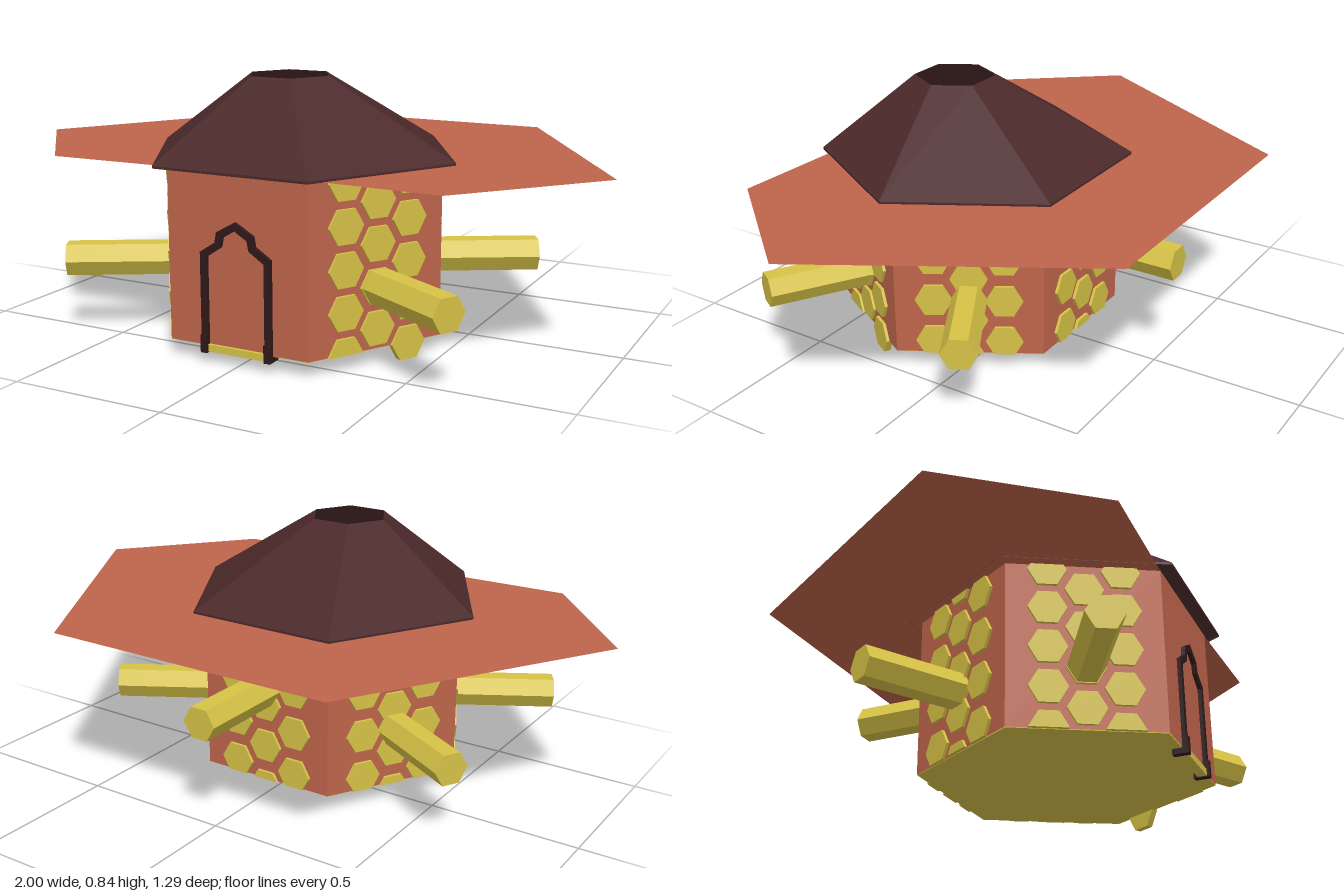
import * as THREE from 'three';

const CZ = 0.19, R = 0.475, AP = R * Math.cos(Math.PI / 6);
const Y0 = 0.055, Y1 = 0.59;

const mat = (name, color, side = THREE.FrontSide) => {
  const m = new THREE.MeshStandardMaterial({ color, side });
  m.name = name;
  return m;
};

export function createModel() {
  const clay = mat('terracotta', 0xbe654b, THREE.DoubleSide);
  const honey = mat('honey yellow', 0xd6c246);
  const roofMat = mat('dark brown', 0x4b292a, THREE.DoubleSide);
  const trim = mat('door trim', 0x2f191a);
  const floorMat = mat('floor tan', 0x806840);

  const model = new THREE.Group();
  const add = (parent, name, geo, m, x = 0, y = 0, z = 0) => {
    const mesh = new THREE.Mesh(geo, m);
    mesh.name = name;
    mesh.position.set(x, y, z);
    parent.add(mesh);
    return mesh;
  };

  // Hexagon ring with corners on the x axis
  const ring = (r, y, cz = CZ) => Array.from({ length: 6 }, (_, k) => {
    const a = -k * Math.PI / 3;
    return [r * Math.cos(a), y, cz + r * Math.sin(a)];
  });
  // Flat-shaded skin between successive rings
  const loft = (rings, closed = true) => {
    const pos = [];
    for (let i = 0; i < rings.length - 1; i++) {
      const a = rings[i], b = rings[i + 1], n = a.length;
      for (let k = 0; k < (closed ? n : n - 1); k++) {
        const j = (k + 1) % n;
        pos.push(...a[k], ...a[j], ...b[j], ...a[k], ...b[j], ...b[k]);
      }
    }
    const g = new THREE.BufferGeometry();
    g.setAttribute('position', new THREE.Float32BufferAttribute(pos, 3));
    g.computeVertexNormals();
    return g;
  };

  // Hexagonal body and floor
  add(model, 'walls', loft([ring(R, Y0), ring(R, Y1)]), clay);
  const slab = (r, h) => new THREE.CylinderGeometry(r, r, h, 6, 1, false, Math.PI / 2).toNonIndexed();
  add(model, 'base', slab(R - 0.002, 0.012), honey, 0, Y0 + 0.004, CZ);
  add(model, 'floor', slab(R - 0.006, 0.006), floorMat, 0, Y0 + 0.014, CZ);

  // Wide flat canopy, open at the front
  const inner = ring(R, Y1 - 0.001);
  const innerOpen = [inner[5], ...inner.slice(0, 5)];
  const outer = [[0.65, 0.615], [1, 0.19], [0.5, -0.645], [-0.5, -0.645], [-1, 0.19], [-0.65, 0.615]]
    .map(([x, z]) => [x, Y1 - 0.001, z]);
  // Upward-facing winding
  add(model, 'canopy', loft([outer, innerOpen], false), clay);

  // Leaning roof with an open top
  add(model, 'roof', loft([ring(0.52, 0.588, 0.195), ring(0.52, 0.596, 0.195), ring(0.134, 0.845, 0.277)]), roofMat);

  // Honeycomb cell, trimmed to the wall height
  const CELL = 0.06, CELL_H = CELL * Math.sqrt(3) / 2;
  const cellGeo = (cy, lo, hi) => {
    const ys = [Math.max(lo, cy - CELL_H), cy, Math.min(hi, cy + CELL_H)]
      .filter((y) => y >= lo && y <= hi);
    const w = (y) => CELL - Math.abs(y - cy) / Math.sqrt(3);
    const pts = [...ys.map((y) => new THREE.Vector2(w(y), y)),
      ...ys.slice().reverse().map((y) => new THREE.Vector2(-w(y), y))];
    return new THREE.ExtrudeGeometry(new THREE.Shape(pts), { depth: 0.022, bevelEnabled: false });
  };

  const dense = { pitch: 0.129, side: 0.055, middle: 0.12 };
  const loose = { pitch: 0.146, side: 0.1, middle: 0.03 };
  const faces = [
    ['frontLeft', 60, dense, 0.25],
    ['backLeft', 120, loose, 0.25],
    ['back', 180, loose, 0.375],
    ['backRight', 240, loose, 0.25],
    ['frontRight', 300, dense, 0.25],
  ];
  for (const [name, deg, pat, rodY] of faces) {
    const face = new THREE.Group();
    face.name = name + 'Honeycomb';
    face.rotation.y = THREE.MathUtils.degToRad(deg);
    face.position.z = CZ;
    for (const col of [-1, 0, 1]) {
      for (let k = 0; k < 5; k++) {
        const cy = (col ? pat.side : pat.middle) + k * pat.pitch;
        if (cy - CELL_H > Y1 - 0.01) continue;
        // One cell hangs below the wall
        const hangs = name === 'frontLeft' && col === 1 && k === 0;
        add(face, 'cell', cellGeo(cy, hangs ? -1 : Y0, Y1 - 0.002), honey, col * 0.112, 0, AP - 0.012);
      }
    }
    // Hexagonal spout, flat side up
    const rod = new THREE.CylinderGeometry(0.0577, 0.0577, 0.36, 6, 1, false, Math.PI / 2).toNonIndexed();
    rod.computeVertexNormals();
    rod.rotateX(Math.PI / 2);
    add(face, name + 'Spout', rod, honey, 0, rodY, AP + 0.165);
    model.add(face);
  }

  // Pointed door frame
  const half = (pts) => [...pts, ...pts.slice(0, -1).reverse().map(([x, y]) => [-x, y])];
  const outline = half([[0.12, 0.035], [0.12, 0.345], [0.068, 0.378], [0.062, 0.41], [0, 0.445]]);
  const opening = half([[0.098, 0.035], [0.098, 0.332], [0.048, 0.365], [0.042, 0.395], [0, 0.42]]);
  const frame = new THREE.Shape([...outline, ...opening.reverse()].map(([x, y]) => new THREE.Vector2(x, y)));
  add(model, 'doorFrame', new THREE.ExtrudeGeometry(frame, { depth: 0.014, bevelEnabled: false }), trim, 0, 0, CZ + AP - 0.002);
  for (const s of [-1, 1]) {
    add(model, 'doorFoot', new THREE.BoxGeometry(0.022, 0.02, 0.045), trim, s * 0.109, 0.045, 0.592);
    add(model, 'doorFootFront', new THREE.BoxGeometry(0.022, 0.055, 0.01), trim, s * 0.109, 0.0625, 0.615);
  }
  add(model, 'threshold', new THREE.BoxGeometry(0.196, 0.022, 0.03), honey, 0, 0.049, 0.597);

  return model;
}
